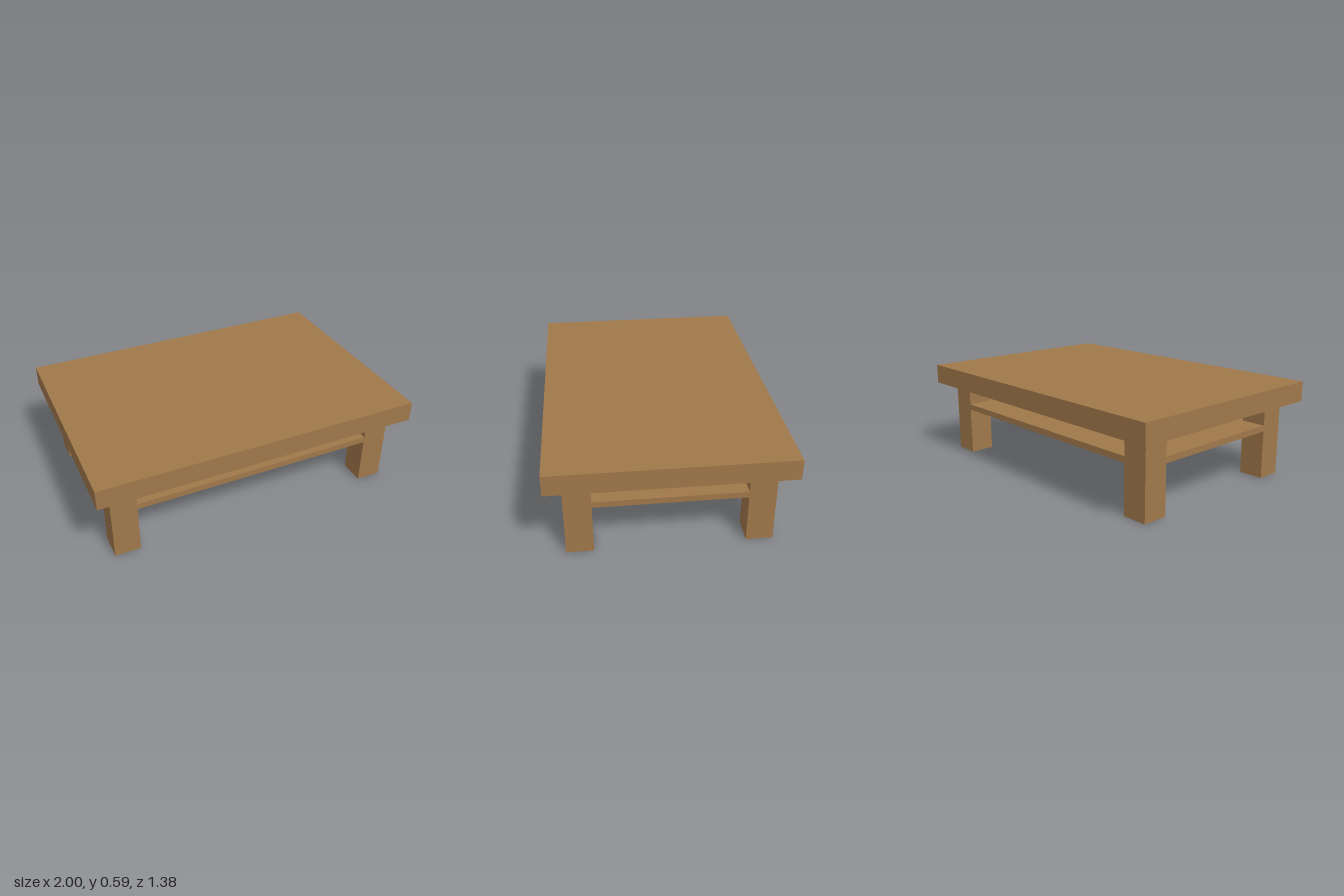
import * as THREE from 'three';

export function createModel() {
  const group = new THREE.Group();
  group.name = 'coffeeTable';
  const wood = new THREE.MeshStandardMaterial({ color: 0xa0784a });
  wood.name = 'wood';

  // Box given by its size, centre in x and z, and bottom height
  function box(name, w, h, d, x, bottom, z) {
    const mesh = new THREE.Mesh(new THREE.BoxGeometry(w, h, d), wood);
    mesh.name = name;
    mesh.position.set(x, bottom + h / 2, z);
    group.add(mesh);
  }

  const legX = 0.832, legZ = 0.513, legSize = 0.156;

  // Thick table top
  box('tableTop', 2, 0.123, 1.375, 0, 0.466, 0);

  // Thin shelf, flush with the outer faces of the legs
  box('shelf', 2 * legX + legSize, 0.037, 2 * legZ + legSize, 0, 0.301, 0);

  // Four square legs
  for (const [sideName, sx] of [['Left', 1], ['Right', -1]]) {
    for (const [endName, sz] of [['front', 1], ['back', -1]]) {
      box(endName + sideName + 'Leg', legSize, 0.466, legSize, sx * legX, 0, sz * legZ);
    }
  }

  return group;
}
